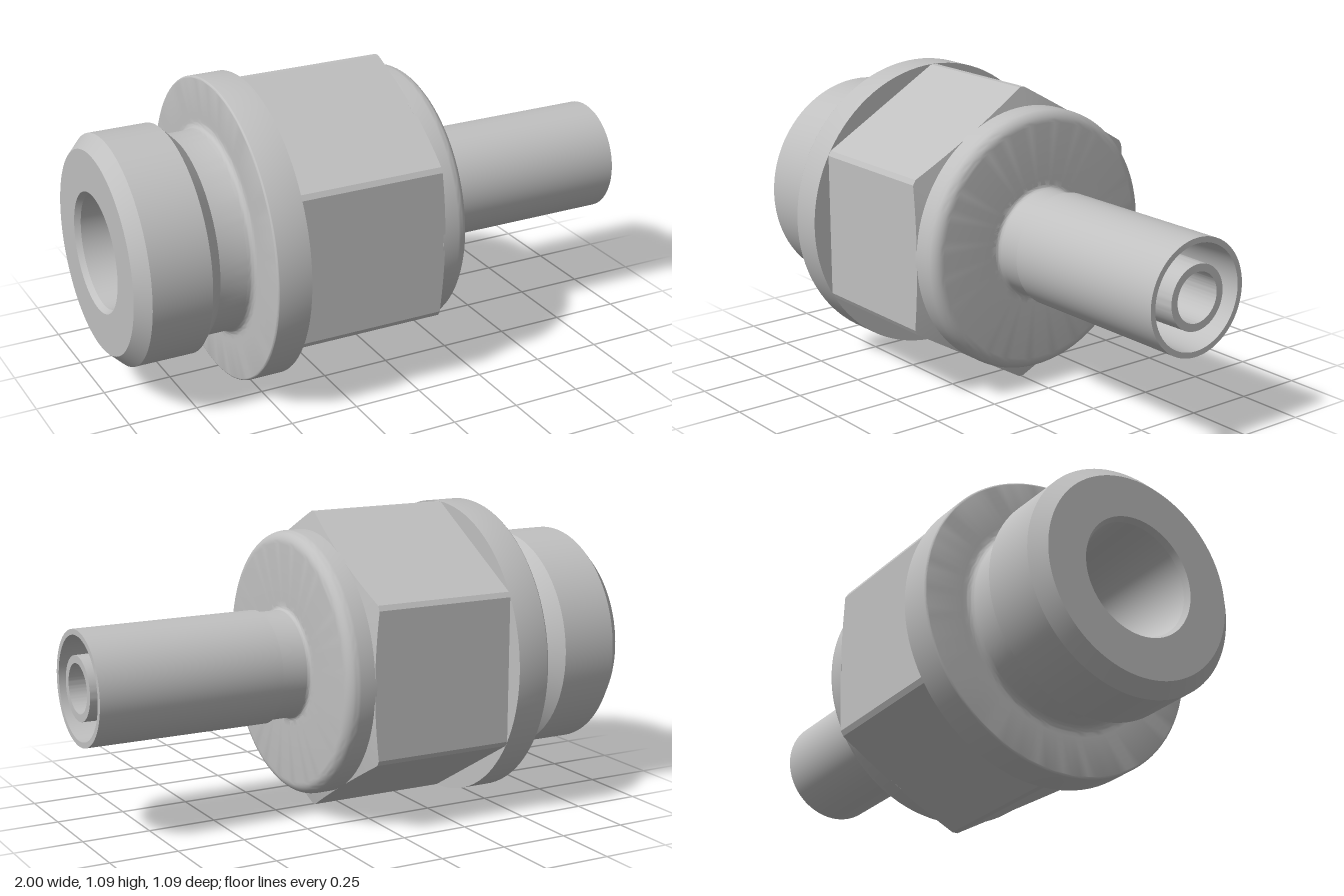
import * as THREE from 'three';
import { toCreasedNormals } from 'three/addons/utils/BufferGeometryUtils.js';

const AXIS_Y = 0.55;

// Profile corners are [x, radius, fillet]; a fillet rounds that corner.
function profile(corners) {
  const v = corners.map(([x, r]) => new THREE.Vector2(r, x));
  const out = [];
  corners.forEach(([, , f], i) => {
    if (!f) { out.push(v[i]); return; }
    const a = v[i].clone().add(v[i - 1].clone().sub(v[i]).setLength(f));
    const b = v[i].clone().add(v[i + 1].clone().sub(v[i]).setLength(f));
    const k = 0.5523;
    out.push(...new THREE.CubicBezierCurve(a, a.clone().lerp(v[i], k), b.clone().lerp(v[i], k), b).getPoints(8));
  });
  return out;
}

// Hexagonal prism along x with trimmed corners and a conical chamfer at the +x end
function hexGeometry(x0, x1, flat, corner, inner) {
  const edge = Math.acos(flat / corner), steps = 16, ring = [];
  for (let f = 0; f < 6; f++) {
    for (let i = 0; i <= steps; i++) {
      const phi = -edge + (2 * edge * i) / steps;
      ring.push([f * Math.PI / 3 + phi, flat / Math.cos(phi)]);
    }
  }
  const n = ring.length, pos = [], idx = [];
  const sections = [
    (r) => [x0, r],
    (r) => [x1 - (r - flat) * 0.24, r],
    () => [x1 + 0.002, inner],
  ];
  for (const section of sections) {
    for (const [a, r] of ring) {
      const [x, rr] = section(r);
      pos.push(x, Math.sin(a) * rr, Math.cos(a) * rr);
    }
  }
  for (let s = 0; s < sections.length - 1; s++) {
    for (let i = 0; i < n; i++) {
      const j = (i + 1) % n, a = s * n + i, b = s * n + j;
      idx.push(a, a + n, b, b, a + n, b + n);
    }
  }
  const g = new THREE.BufferGeometry();
  g.setAttribute('position', new THREE.Float32BufferAttribute(pos, 3));
  g.setIndex(idx);
  // make the faces point away from the axis
  const p = (k) => new THREE.Vector3().fromBufferAttribute(g.attributes.position, idx[k]);
  const normal = p(1).sub(p(0)).cross(p(2).sub(p(0)));
  const radial = p(0).setX(0);
  if (normal.dot(radial) < 0) {
    for (let k = 0; k < idx.length; k += 3) [idx[k + 1], idx[k + 2]] = [idx[k + 2], idx[k + 1]];
    g.setIndex(idx);
  }
  return toCreasedNormals(g, 0.25);
}

export function createModel() {
  const steel = new THREE.MeshStandardMaterial({ color: 0xc0c0c0 });
  steel.name = 'steel';
  const group = new THREE.Group();
  group.name = 'tubeFitting';

  const add = (name, geometry) => {
    const mesh = new THREE.Mesh(geometry, steel);
    mesh.name = name;
    mesh.position.y = AXIS_Y;
    group.add(mesh);
  };
  const turned = (name, corners) => {
    const g = new THREE.LatheGeometry(profile(corners), 96);
    g.rotateZ(-Math.PI / 2);
    add(name, toCreasedNormals(g, 0.42));
  };

  // Left end: face, chamfered collar and undercut groove
  turned('threadedEnd', [
    [-1, 0.215], [-1, 0.363], [-0.952, 0.41], [-0.738, 0.41],
    [-0.69, 0.36], [-0.565, 0.36, 0.025], [-0.565, 0.4],
  ]);

  // Round flange behind the hexagon
  turned('flange', [
    [-0.565, 0.4], [-0.565, 0.547, 0.008], [-0.44, 0.547], [-0.44, 0.46],
  ]);

  add('hexNut', hexGeometry(-0.44, 0.108, 0.478, 0.546, 0.465));

  // Rounded shoulder, running into the neck
  turned('shoulder', [
    [0.1, 0.465], [0.1, 0.479], [0.207, 0.479, 0.045], [0.207, 0.21],
  ]);
  turned('neck', [
    [0.207, 0.23], [0.207, 0.195, 0.014], [0.318, 0.195], [0.318, 0.205],
  ]);

  // Outer sleeve with the tapered ring slot, and the inner tube in it
  turned('sleeve', [
    [0.318, 0.205], [1, 0.205], [1, 0.185], [0.36, 0.175], [0.36, 0.125],
  ]);
  turned('innerTube', [
    [0.36, 0.125], [1, 0.115], [1, 0.088],
  ]);

  // Through bore, opening into a wider tapered socket on the left
  turned('bore', [
    [1, 0.088], [-0.4, 0.088], [-0.4, 0.175], [-0.98, 0.203], [-1, 0.215],
  ]);

  return group;
}
